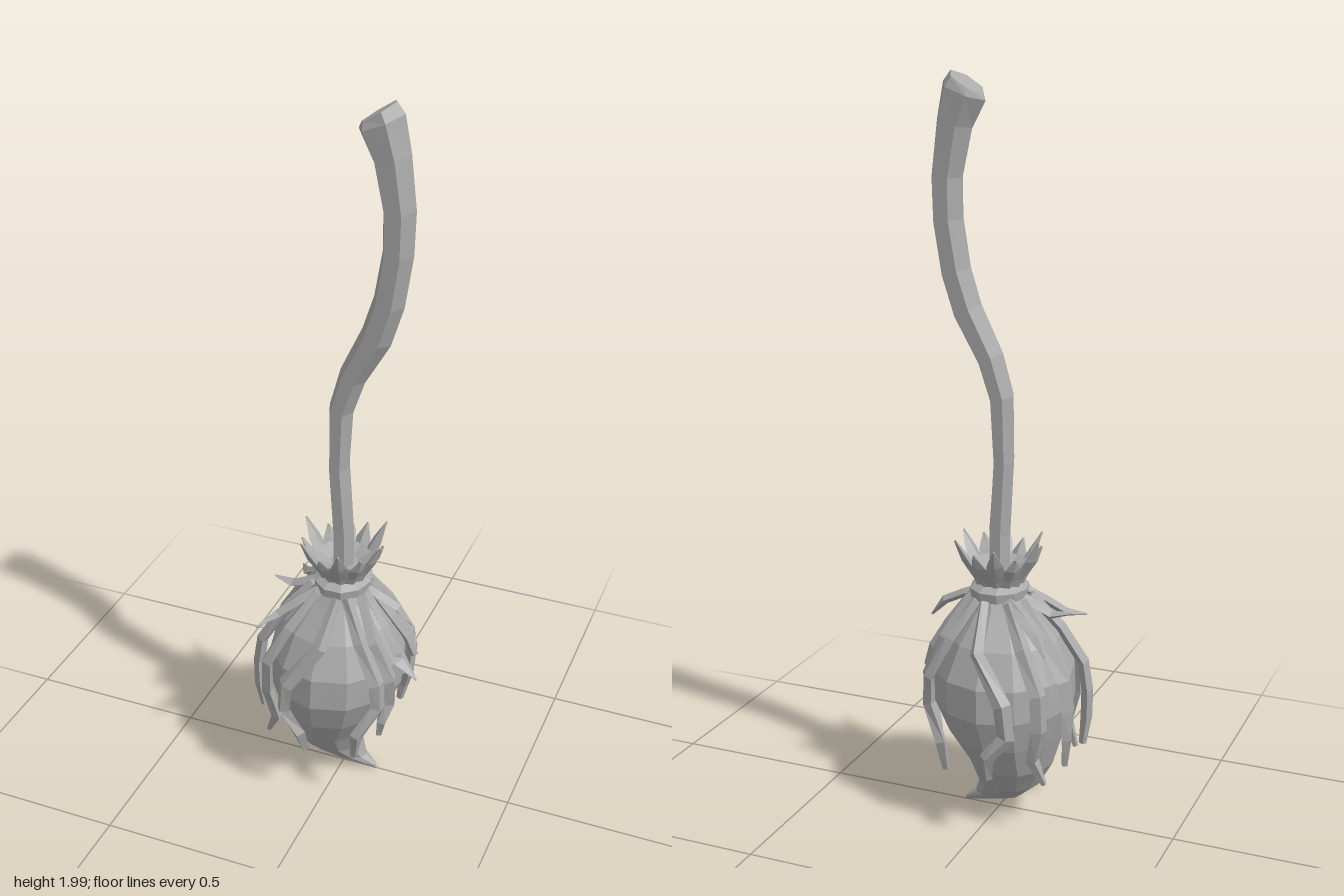
import * as THREE from 'three';

const V = (x, y, z) => new THREE.Vector3(x, y, z);
const rad = THREE.MathUtils.degToRad;

// Closed, flat-faceted skin through a list of equal-sized rings of points
function loft(rings) {
  const tris = [];
  const n = rings[0].length;
  const middle = (r) => r.reduce((s, p) => s.add(p), V(0, 0, 0)).divideScalar(n);
  const first = rings[0], last = rings[rings.length - 1];
  const c0 = middle(first), c1 = middle(last);
  for (let j = 0; j < n; j++) {
    const k = (j + 1) % n;
    for (let i = 0; i < rings.length - 1; i++) {
      const a = rings[i], b = rings[i + 1];
      tris.push([a[j], b[j], b[k]], [a[j], b[k], a[k]]);
    }
    tris.push([c0, first[j], first[k]], [c1, last[k], last[j]]);
  }
  // Turn the faces outwards when the enclosed volume comes out negative
  let volume = 0;
  for (const [a, b, c] of tris) {
    volume += a.clone().sub(c0).dot(b.clone().sub(c0).cross(c.clone().sub(c0)));
  }
  const pts = tris.flatMap(([a, b, c]) => (volume < 0 ? [a, c, b] : [a, b, c]));
  const geo = new THREE.BufferGeometry().setFromPoints(pts);
  geo.computeVertexNormals();
  return geo;
}

// Ridged blade of straw: points, outward normals, half widths, half thickness
function blade(points, normals, widths, thick) {
  return loft(points.map((p, i) => {
    const t = points[Math.min(i + 1, points.length - 1)].clone()
      .sub(points[Math.max(i - 1, 0)]).normalize();
    const side = t.clone().cross(normals[i]).normalize();
    const out = side.clone().cross(t).normalize();
    const w = widths[i], h = Math.min(thick, w);
    return [[w, 0], [0, h], [-w, 0], [0, -h]].map(([u, v]) =>
      p.clone().addScaledVector(side, u).addScaledVector(out, v));
  }));
}

// Straw bundle sections: y, centre x, radius x, radius z
const BODY = [
  [0.66, 0, 0.05, 0.05], [0.6, -0.01, 0.085, 0.09], [0.52, -0.015, 0.15, 0.155],
  [0.43, -0.015, 0.19, 0.2], [0.34, -0.018, 0.19, 0.205], [0.25, -0.025, 0.158, 0.175],
  [0.16, -0.04, 0.115, 0.128], [0.09, -0.03, 0.085, 0.08], [0.045, 0.005, 0.065, 0.04],
  [0.018, 0.07, 0.03, 0.014], [0.004, 0.1, 0.004, 0.003],
];

function bodyPoint(deg, y, lift) {
  let i = 0;
  while (i < BODY.length - 2 && BODY[i + 1][0] > y) i++;
  const a = BODY[i], b = BODY[i + 1];
  const f = (a[0] - y) / (a[0] - b[0]);
  const [cx, rx, rz] = [1, 2, 3].map((k) => a[k] + (b[k] - a[k]) * f);
  const t = rad(deg);
  return V(cx + (rx + lift) * Math.cos(t), y, (rz + lift) * Math.sin(t));
}

// Hanging strands on the front half: angle, height, lift, half width
const STRANDS = [
  [[78, 0.63, 0.01, 0.014], [86, 0.52, 0.012, 0.02], [111, 0.4, 0.016, 0.024],
    [113, 0.31, 0.02, 0.024], [97, 0.25, 0.035, 0.02], [92, 0.18, 0.045, 0.012]],
  [[58, 0.63, 0.01, 0.014], [46, 0.53, 0.012, 0.02], [38, 0.42, 0.018, 0.024],
    [36, 0.34, 0.02, 0.024], [50, 0.25, 0.04, 0.02], [48, 0.17, 0.075, 0.01]],
  [[28, 0.63, 0.01, 0.014], [32, 0.52, 0.012, 0.02], [24, 0.41, 0.015, 0.022],
    [20, 0.32, 0.015, 0.022], [26, 0.26, 0.03, 0.016], [25, 0.21, 0.05, 0.01]],
  [[160, 0.63, 0.01, 0.014], [158, 0.54, 0.015, 0.022], [160, 0.44, 0.025, 0.026],
    [161, 0.36, 0.03, 0.026], [160, 0.28, 0.045, 0.02], [160, 0.2, 0.06, 0.01]],
  [[125, 0.63, 0.01, 0.014], [130, 0.53, 0.012, 0.022], [137, 0.42, 0.018, 0.024],
    [138, 0.32, 0.02, 0.024], [134, 0.23, 0.025, 0.02], [140, 0.16, 0.065, 0.008]],
  [[8, 0.63, 0.01, 0.012], [11, 0.54, 0.015, 0.02], [13, 0.47, 0.02, 0.02],
    [11, 0.41, 0.025, 0.01]],
];

export function createModel() {
  const group = new THREE.Group();
  const grey = new THREE.MeshStandardMaterial({ color: 0xaaaaaa });
  grey.name = 'plain grey';
  grey.flatShading = true;
  const add = (geo, name) => {
    const mesh = new THREE.Mesh(geo, grey);
    mesh.name = name;
    group.add(mesh);
    return mesh;
  };

  // Crooked six-sided handle: x, y, half width, half depth, tilt
  const handle = [
    [0, 0.6, 0.03, 0.035, 0], [0, 0.8, 0.03, 0.035, 4], [-0.012, 1.0, 0.028, 0.037, 2],
    [-0.006, 1.17, 0.033, 0.04, -10], [0.025, 1.27, 0.036, 0.042, -24],
    [0.088, 1.39, 0.042, 0.045, -26], [0.12, 1.49, 0.041, 0.047, -14],
    [0.141, 1.62, 0.04, 0.049, -4], [0.143, 1.73, 0.042, 0.05, 4],
    [0.122, 1.86, 0.049, 0.053, 12], [0.095, 1.94, 0.062, 0.056, 22],
    [0.088, 1.962, 0.052, 0.048, 33],
  ];
  add(loft(handle.map(([x, y, w, d, tilt]) => Array.from({ length: 6 }, (_, j) => {
    const a = (j * Math.PI) / 3;
    const u = w * Math.cos(a), t = rad(tilt);
    return V(x + u * Math.cos(t), y + u * Math.sin(t), (d * Math.sin(a)) / 0.866);
  }))), 'handle');

  // Straw bundle curling to a point
  add(loft(BODY.map(([y]) => Array.from({ length: 12 }, (_, j) => bodyPoint(j * 30, y, 0)))),
    'strawBundle');

  // Binding band
  const band = [[0.06, 0.622], [0.085, 0.63], [0.088, 0.655], [0.06, 0.672]];
  add(loft(band.map(([r, y]) => Array.from({ length: 10 }, (_, j) => {
    const a = (j * Math.PI) / 5;
    return V(r * 0.9 * Math.cos(a), y, r * Math.sin(a));
  }))), 'bindingBand');

  // Flared straw ends above the band
  add(loft([[0.056, 0.65], [0.064, 0.69], [0.078, 0.72], [0.04, 0.7]].map(([r, y]) =>
    Array.from({ length: 10 }, (_, j) => V(r * Math.cos(j * Math.PI / 5), y, r * Math.sin(j * Math.PI / 5))))),
  'crownBase');
  for (let i = 0; i < 12; i++) {
    const a = rad(i * 30 + 15);
    const s = [1, 0.8, 1.08, 0.7][i % 4];
    const path = [[0.05, 0.655], [0.066, 0.69], [0.07 + 0.028 * s, 0.69 + 0.05 * s], [0.07 + 0.053 * s, 0.69 + 0.098 * s]];
    const out = V(Math.cos(a), -0.4, Math.sin(a));
    add(blade(path.map(([r, y]) => V(r * Math.cos(a), y, r * Math.sin(a))),
      path.map(() => out), [0.02, 0.026, 0.022, 0.003], 0.01), 'crownSpike');
  }

  // Hanging strands, mirrored front to back
  for (const strand of STRANDS) {
    for (const side of [1, -1]) {
      add(blade(strand.map(([a, y, l]) => bodyPoint(side * a, y, l)),
        strand.map(([a]) => V(Math.cos(rad(a)), 0.15, side * Math.sin(rad(a)))),
        strand.map((p) => p[3]), 0.016), 'hangingStrand');
    }
  }

  // Loose blades sticking out: path points, half widths
  const loose = [
    [[[-0.04, 0.645, 0], [-0.1, 0.615, 0], [-0.15, 0.592, 0], [-0.205, 0.602, 0]], [0.016, 0.024, 0.02, 0.003]],
    [[[0.04, 0.645, 0], [0.1, 0.62, 0], [0.16, 0.59, 0], [0.2, 0.542, 0]], [0.014, 0.018, 0.016, 0.003]],
    [[[0.06, 0.62, 0.02], [0.13, 0.54, 0.03], [0.185, 0.45, 0.045], [0.24, 0.415, 0.07]], [0.014, 0.026, 0.026, 0.003]],
    [[[-0.04, 0.64, 0.05], [-0.1, 0.6, 0.08], [-0.15, 0.56, 0.11], [-0.19, 0.54, 0.165]], [0.014, 0.022, 0.018, 0.003]],
    [[[-0.04, 0.64, -0.05], [-0.1, 0.6, -0.08], [-0.15, 0.56, -0.11], [-0.19, 0.54, -0.165]], [0.014, 0.022, 0.018, 0.003]],
  ];
  for (const [path, widths] of loose) {
    add(blade(path.map((p) => V(...p)), path.map((p) => V(p[0], 0.25, p[2])), widths, 0.012), 'looseBlade');
  }
  return group;
}
